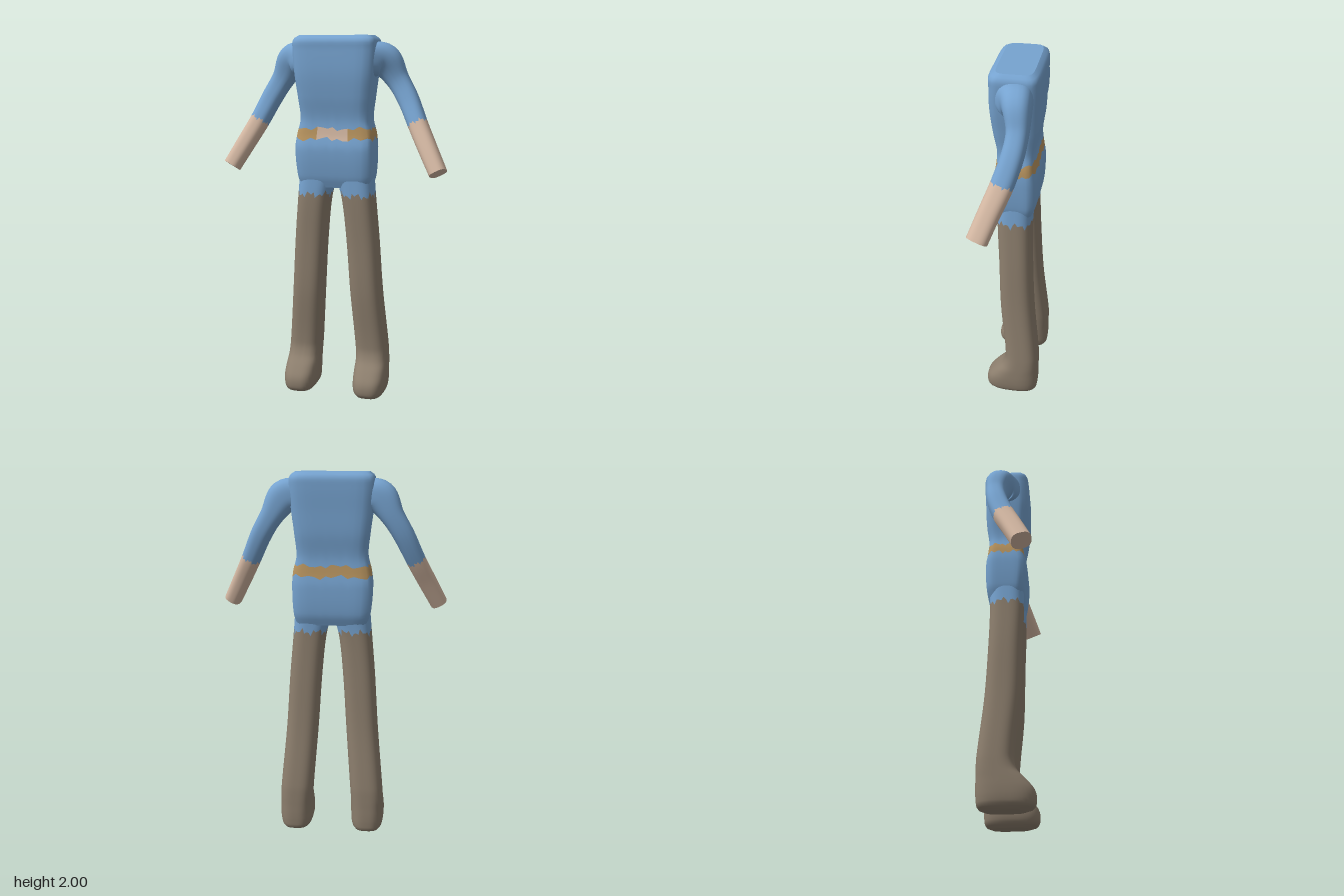
import * as THREE from 'three';

const N = 48; // points round every cross-section
const mat = (name, color) => {
  const m = new THREE.MeshStandardMaterial({ color });
  m.name = name;
  return m;
};

// Smooth interpolation through rows keyed by their first number
function sample(rows, k) {
  const last = rows.length - 1;
  k = Math.min(Math.max(k, rows[0][0]), rows[last][0]);
  let i = 0;
  while (i < last - 1 && k > rows[i + 1][0]) i++;
  const a = rows[i], b = rows[i + 1], h = b[0] - a[0], t = (k - a[0]) / h;
  const slope = (j, c) => {
    const p = rows[Math.max(j - 1, 0)], q = rows[Math.min(j + 1, last)];
    return (q[c] - p[c]) / (q[0] - p[0]);
  };
  return a.map((v, c) => c === 0 ? k :
    (2 * t ** 3 - 3 * t * t + 1) * v + (t ** 3 - 2 * t * t + t) * h * slope(i, c) +
    (3 * t * t - 2 * t ** 3) * b[c] + (t ** 3 - t * t) * h * slope(i + 1, c));
}

// Point on a rounded square of half-size 1
function rounded(angle, n) {
  const c = Math.cos(angle), s = Math.sin(angle);
  const r = (Math.abs(c) ** n + Math.abs(s) ** n) ** (-1 / n);
  return [c * r, s * r];
}

// Upright body: rows are [y, x0, x1, z0, z1]
const upright = (rows, n) => (k, angle) => {
  const [y, x0, x1, z0, z1] = sample(rows, k);
  const [c, s] = rounded(angle, n);
  return new THREE.Vector3((x0 + x1) / 2 + c * (x1 - x0) / 2, y, (z0 + z1) / 2 + s * (z1 - z0) / 2);
};

// Limb: rows are [t, x, y, z, radius across, radius in depth]
const limb = (rows, n) => (k, angle) => {
  const p = sample(rows, k), end = rows[rows.length - 1][0];
  const q0 = sample(rows, Math.max(k - 0.1, 0)), q1 = sample(rows, Math.min(k + 0.1, end));
  const dir = new THREE.Vector3(q1[1] - q0[1], q1[2] - q0[2], q1[3] - q0[3]).normalize();
  const u = new THREE.Vector3(-dir.y, dir.x, 0).normalize();
  const v = u.clone().cross(dir);
  const [c, s] = rounded(angle, n);
  return new THREE.Vector3(p[1], p[2], p[3]).addScaledVector(u, c * p[4]).addScaledVector(v, s * p[5]);
};

// Skin between two borders; a border is a number or a function of the point index
function skin(name, material, at, from, to, o = {}) {
  const { steps = 16, i0 = 0, i1 = N, capStart = false, capEnd = false } = o;
  const border = (b, i) => typeof b === 'function' ? b(i % N) : b;
  const full = i1 - i0 === N, cols = full ? N : i1 - i0 + 1;
  const pos = [], idx = [];
  const point = (i, f) => at(THREE.MathUtils.lerp(border(from, i), border(to, i), f), i / N * Math.PI * 2);
  for (let j = 0; j <= steps; j++)
    for (let i = 0; i < cols; i++) pos.push(...point(i0 + i, j / steps).toArray());
  for (let j = 0; j < steps; j++)
    for (let i = 0; i < i1 - i0; i++) {
      const a = j * cols + i, c = j * cols + (i + 1) % cols;
      idx.push(a, a + cols, c, c, a + cols, c + cols);
    }
  // Flat end caps
  for (const f of [capStart && 0, capEnd && 1]) {
    if (f === false) continue;
    const base = pos.length / 3, mid = new THREE.Vector3();
    for (let i = 0; i < N; i++) {
      const p = point(i, f);
      mid.addScaledVector(p, 1 / N);
      pos.push(...p.toArray());
    }
    pos.push(...mid.toArray());
    for (let i = 0; i < N; i++) {
      const a = base + i, b = base + (i + 1) % N;
      idx.push(base + N, f ? b : a, f ? a : b);
    }
  }
  const g = new THREE.BufferGeometry();
  g.setAttribute('position', new THREE.Float32BufferAttribute(pos, 3));
  g.setIndex(idx);
  g.computeVertexNormals();
  const mesh = new THREE.Mesh(g, material);
  mesh.name = name;
  return mesh;
}

// Ragged border round a level
const ragged = (level, size, seed) => i =>
  level + size * (0.6 * Math.sin(i * 2.4 + seed) + 0.4 * Math.sin(i * 0.9 + seed * 2));

const torsoRows = [
  [1.19, -0.19, 0.19, -0.10, 0.07],
  [1.25, -0.207, 0.207, -0.12, 0.09],
  [1.40, -0.217, 0.214, -0.125, 0.105],
  [1.48, -0.208, 0.208, -0.115, 0.09],
  [1.56, -0.19, 0.19, -0.11, 0.085],
  [1.68, -0.20, 0.20, -0.125, 0.105],
  [1.80, -0.215, 0.215, -0.13, 0.118],
  [1.93, -0.225, 0.225, -0.135, 0.118],
  [1.98, -0.22, 0.22, -0.13, 0.115],
  [2.00, -0.195, 0.195, -0.105, 0.085],
];
const legRows = [
  [0, 0.15, 0.25, -0.11, 0.09],
  [0.015, 0.125, 0.28, -0.143, 0.13],
  [0.05, 0.112, 0.292, -0.152, 0.145],
  [0.10, 0.11, 0.295, -0.155, 0.138],
  [0.15, 0.11, 0.293, -0.155, 0.10],
  [0.20, 0.11, 0.29, -0.155, 0.053],
  [0.27, 0.105, 0.285, -0.153, 0.035],
  [0.60, 0.08, 0.255, -0.12, 0.065],
  [0.90, 0.06, 0.235, -0.105, 0.075],
  [1.13, 0.035, 0.215, -0.10, 0.085],
  [1.25, 0, 0.205, -0.105, 0.085],
];
const armRows = [
  [0, 0.17, 1.875, -0.01, 0.09, 0.10],
  [1, 0.255, 1.865, -0.04, 0.09, 0.075],
  [2, 0.322, 1.77, -0.055, 0.062, 0.056],
  [3, 0.385, 1.665, -0.04, 0.056, 0.056],
  [4, 0.445, 1.54, 0, 0.052, 0.058],
  [5, 0.508, 1.42, 0.05, 0.05, 0.056],
  [6, 0.575, 1.295, 0.10, 0.047, 0.055],
];

export function createModel() {
  const blue = mat('blue cloth', 0x76a3d0);
  const tan = mat('tan belt', 0xb8945f);
  const flesh = mat('skin', 0xd3b7a2);
  const brown = mat('brown trousers', 0x8c7e6d);
  const model = new THREE.Group();
  model.name = 'figure';

  // Torso with belt and front buckle
  const torso = upright(torsoRows, 7);
  const low = ragged(1.455, 0.016, 1), high = ragged(1.512, 0.014, 4);
  model.add(
    skin('hips', blue, torso, 1.19, low, { capStart: true }),
    skin('belt', tan, torso, low, high, { steps: 5, i0: 15, i1: 9 + N }),
    skin('buckle', flesh, torso, low, high, { steps: 5, i0: 9, i1: 15 }),
    skin('shirt', blue, torso, high, 2, { steps: 36, capEnd: true }));

  // Legs and arms, mirrored
  const leg = upright(legRows, 3), arm = limb(armRows, 2.6);
  const hem = ragged(1.15, 0.024, 2), cuff = ragged(4, 0.1, 3);
  for (const side of [1, -1]) {
    const half = new THREE.Group();
    half.name = side > 0 ? 'leftLimbs' : 'rightLimbs';
    half.scale.x = side;
    half.add(
      skin('trouserLegAndFoot', brown, leg, 0, hem, { steps: 90, capStart: true }),
      skin('shortsLeg', blue, leg, hem, 1.25, { steps: 6, capEnd: true }),
      skin('sleeve', blue, arm, 0, cuff, { steps: 28 }),
      skin('forearmAndHand', flesh, arm, cuff, 6, { steps: 14, capEnd: true }));
    model.add(half);
  }
  return model;
}
